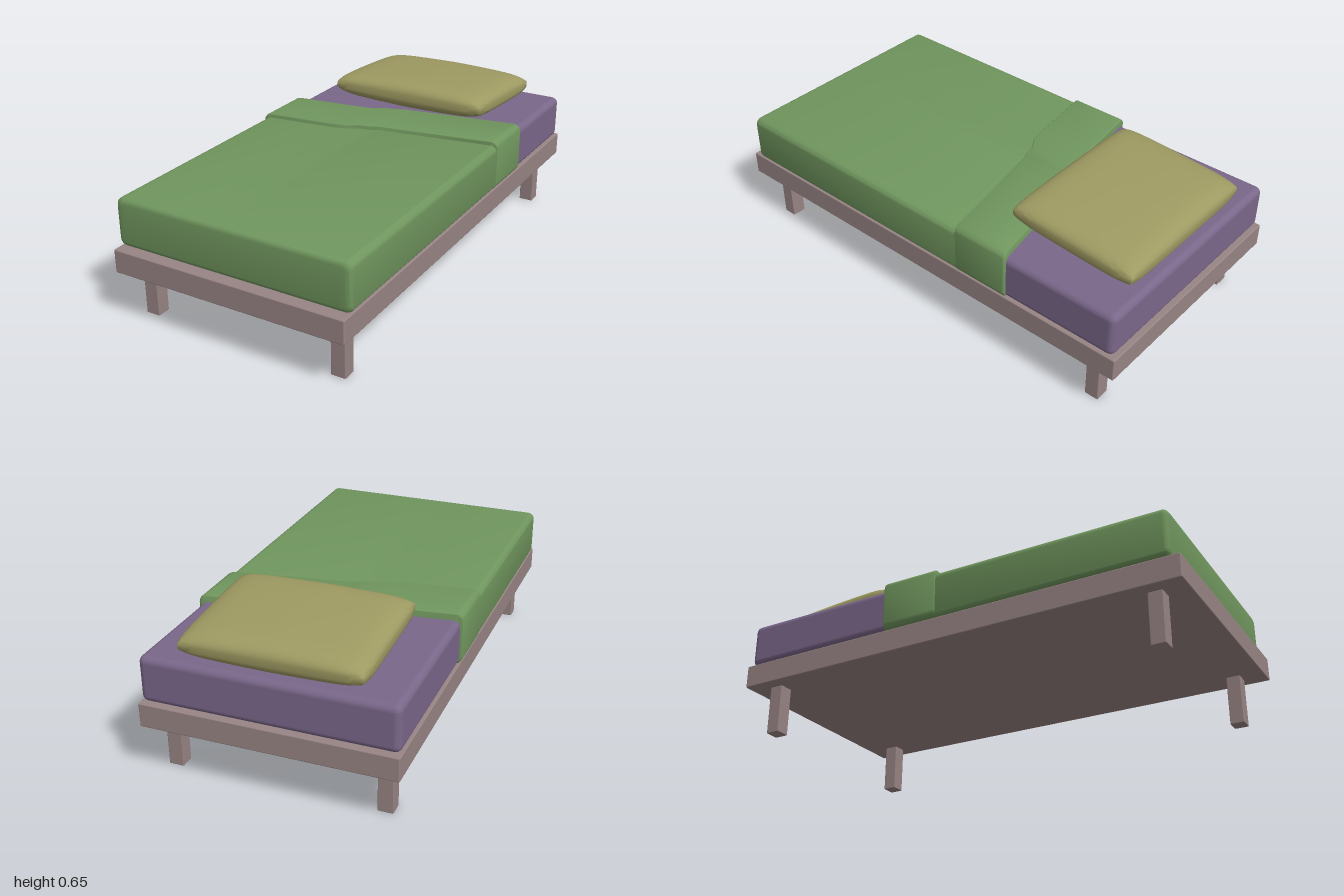
import * as THREE from 'three';
import { toCreasedNormals } from 'three/addons/utils/BufferGeometryUtils.js';
import { RoundedBoxGeometry } from 'three/addons/geometries/RoundedBoxGeometry.js';

const mat = (color) => new THREE.MeshStandardMaterial({ color });
const wood = mat(0x988484);
const sheet = mat(0x7a678a);
const green = mat(0x70965e);
const pillowCloth = mat(0x9e9a62);

function add(parent, name, geometry, material, x = 0, y = 0, z = 0) {
  const mesh = new THREE.Mesh(geometry, material);
  mesh.name = name;
  mesh.position.set(x, y, z);
  parent.add(mesh);
  return mesh;
}

// Wavy diagonal hem of the blanket: z for a given x
const hemPoints = [[-0.53, -0.283], [-0.2, -0.325], [-0.14, -0.34], [-0.09, -0.37],
  [-0.04, -0.38], [0, -0.397], [0.53, -0.488]];
function hem(x) {
  let i = 0;
  while (i < hemPoints.length - 2 && x > hemPoints[i + 1][0]) i++;
  const [a, b] = [hemPoints[i], hemPoints[i + 1]];
  return a[1] + (b[1] - a[1]) * (x - a[0]) / (b[0] - a[0]);
}

// Rounded slab whose back and front ends follow a rule z(x); ends are rounded off
function coverGeometry(hw, y0, y1, r, zBack, zFront, rBack, rFront) {
  const outline = [];
  const steps = 6;
  const half = [];
  for (let i = 0; i <= steps; i++) {
    const a = (i / steps) * Math.PI / 2;
    half.push([-hw + r - r * Math.cos(a), r - r * Math.sin(a)]);
  }
  const across = [...half, ...hemPoints.slice(1, -1).map((p) => [p[0], 0]),
    ...half.map(([x, d]) => [-x, d]).reverse()];
  across.forEach(([x, d]) => outline.push([x, y1 - d]));
  [...across].reverse().forEach(([x, d]) => outline.push([x, y0 + d]));

  // Rings as [end rule, inset, distance in from that end]
  const rings = [];
  for (let i = 0; i <= 4; i++) {
    const a = (i / 4) * Math.PI / 2;
    rings.push([zBack, rBack * (1 - Math.sin(a)), rBack * (1 - Math.cos(a))]);
  }
  for (let i = 4; i >= 0; i--) {
    const a = (i / 4) * Math.PI / 2;
    rings.push([zFront, rFront * (1 - Math.sin(a)), -rFront * (1 - Math.cos(a))]);
  }
  const n = outline.length;
  const yc = (y0 + y1) / 2;
  const hh = (y1 - y0) / 2;
  const pos = [];
  const index = [];
  for (const [rule, inset, dz] of rings) {
    for (const [x, y] of outline) {
      pos.push(x * (1 - inset / hw), yc + (y - yc) * (1 - inset / hh), rule(x) + dz);
    }
  }
  for (let k = 0; k < rings.length - 1; k++) {
    for (let i = 0; i < n; i++) {
      const a = k * n + i;
      const b = k * n + (i + 1) % n;
      index.push(a, a + n, b, b, a + n, b + n);
    }
  }
  // End caps join each top point to the bottom point below it
  const last = (rings.length - 1) * n;
  for (let i = 0; i < n / 2 - 1; i++) {
    const q = [i, i + 1, n - 2 - i, n - 1 - i];
    index.push(q[0], q[1], q[2], q[0], q[2], q[3]);
    const f = q.map((v) => v + last);
    index.push(f[0], f[2], f[1], f[0], f[3], f[2]);
  }
  const g = new THREE.BufferGeometry();
  g.setAttribute('position', new THREE.Float32BufferAttribute(pos, 3));
  g.setIndex(index);
  return toCreasedNormals(g, 0.6);
}

// Puffed cushion: a subdivided box swollen in the middle, thin at the seam
function pillowGeometry(hw, hd, h) {
  const g = new THREE.BoxGeometry(2, 2, 2, 28, 1, 28);
  const p = g.attributes.position;
  for (let i = 0; i < p.count; i++) {
    const u = Math.sin(p.getX(i) * Math.PI / 2);
    const v = Math.sin(p.getZ(i) * Math.PI / 2);
    const dome = Math.sqrt(Math.max(0, (1 - u ** 8) * (1 - v ** 8)));
    const crown = 1 - 0.2 * Math.abs(u) ** 1.3 - 0.15 * v * v;
    const y = Math.sign(p.getY(i)) * (0.012 + (h - 0.012) * dome * crown);
    // Corners pulled in slightly
    p.setXYZ(i, u * hw * (1 - 0.025 * v ** 8), y, v * hd * (1 - 0.025 * u ** 8));
  }
  return toCreasedNormals(g, 0.9);
}

export function createModel() {
  const bed = new THREE.Group();
  bed.name = 'bed';

  // Base and legs
  add(bed, 'frame', new RoundedBoxGeometry(1.034, 0.1, 2, 2, 0.005), wood, 0, 0.261, 0);
  for (const sx of [-1, 1]) {
    for (const sz of [-1, 1]) {
      const name = (sz > 0 ? 'front' : 'back') + (sx > 0 ? 'Left' : 'Right') + 'Leg';
      add(bed, name, new RoundedBoxGeometry(0.062, 0.212, 0.06, 2, 0.003), wood,
        sx * 0.432, 0.106, sz * 0.875);
    }
  }

  // Bedding
  add(bed, 'mattress', new RoundedBoxGeometry(1.026, 0.192, 1.93, 5, 0.028), sheet, 0, 0.407, -0.02);
  add(bed, 'blanket', coverGeometry(0.522, 0.311, 0.515, 0.028,
    (x) => hem(x) + 0.02, () => 0.962, 0.004, 0.022), green);
  add(bed, 'blanketFold', coverGeometry(0.526, 0.311, 0.533, 0.032,
    hem, (x) => hem(x) + 0.25, 0.008, 0.005), green);

  // Pillow, its front edge resting on the fold
  const pillow = add(bed, 'pillow', pillowGeometry(0.37, 0.283, 0.07), pillowCloth, 0, 0.572, -0.668);
  pillow.rotation.x = -0.07;

  return bed;
}
